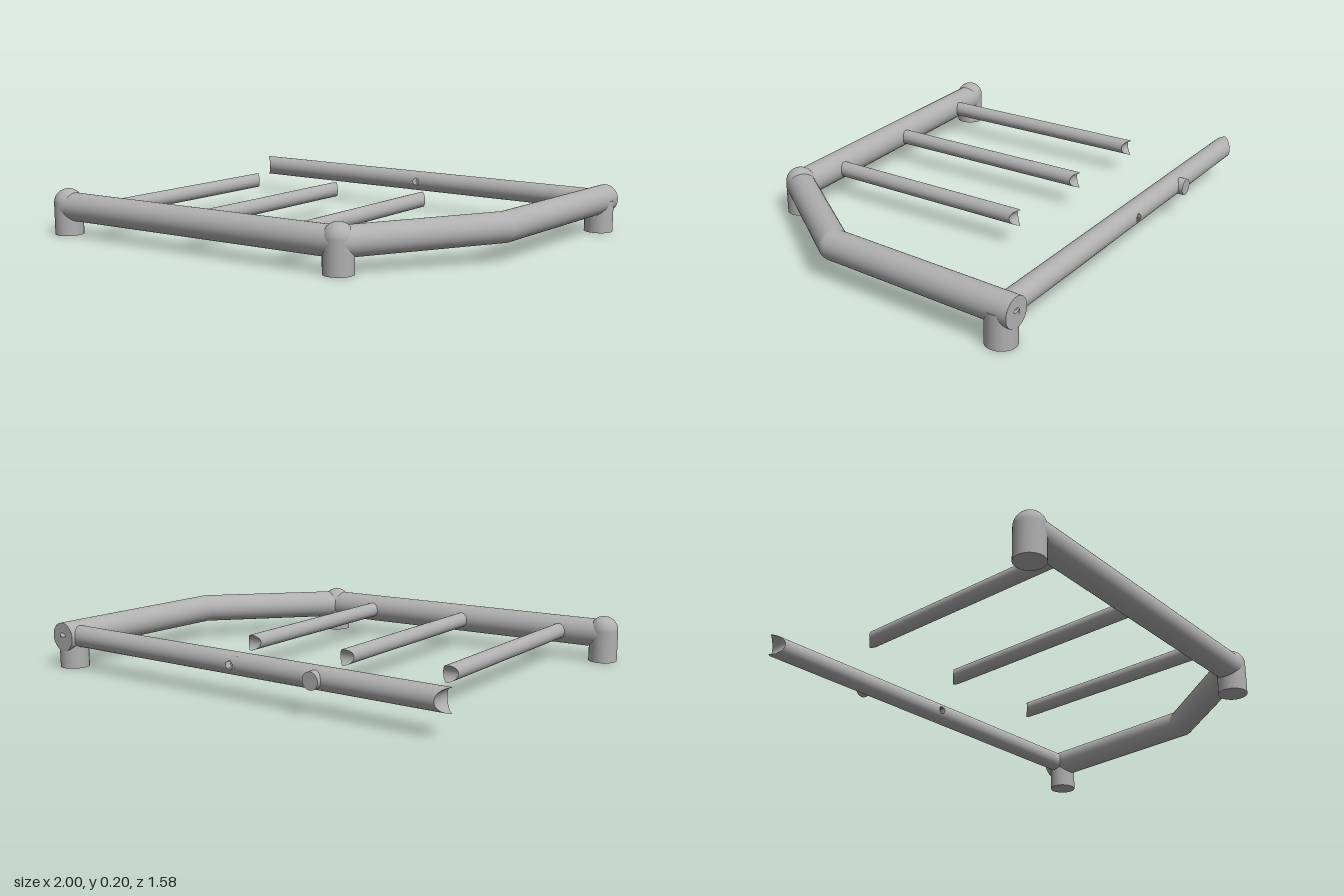
import * as THREE from 'three';
import { mergeGeometries, toCreasedNormals } from 'three/addons/utils/BufferGeometryUtils.js';

const steel = new THREE.MeshStandardMaterial({ color: 0xb0b0b0 });
steel.name = 'steelGrey';

function add(parent, name, geometry, x = 0, y = 0, z = 0) {
  const mesh = new THREE.Mesh(geometry, steel);
  mesh.name = name;
  mesh.position.set(x, y, z);
  parent.add(mesh);
  return mesh;
}

// Straight round tube between two points
function tube(parent, name, a, b, r, open = false) {
  const from = new THREE.Vector3(...a), dir = new THREE.Vector3(...b).sub(from);
  const mesh = add(parent, name, new THREE.CylinderGeometry(r, r, dir.length(), 40, 1, open));
  mesh.position.copy(from).addScaledVector(dir, 0.5);
  mesh.quaternion.setFromUnitVectors(new THREE.Vector3(0, 1, 0), dir.normalize());
  return mesh;
}

// Bar running along +z whose far end is cut to a saddle, tips at top and bottom
function copedBar(r, length) {
  const wall = new THREE.CylinderGeometry(r, r, length, 40, 1, true);
  wall.rotateX(Math.PI / 2).translate(0, 0, length / 2);
  const end = new THREE.RingGeometry(0, r, 40, 8).translate(0, 0, length);
  for (const g of [wall, end]) {
    const p = g.attributes.position;
    for (let i = 0; i < p.count; i++) {
      if (p.getZ(i) < length / 2) continue;
      p.setZ(i, length - Math.sqrt(Math.max(0, r * r - p.getY(i) ** 2)));
    }
  }
  end.computeVertexNormals();
  return mergeGeometries([wall, end]);
}

// Short piece of rail along x with a small bore sunk in its front and back
function boredPiece(r, length, bore) {
  const g = new THREE.CylinderGeometry(r, r, length, 80, 24, true);
  g.rotateZ(Math.PI / 2);
  const p = g.attributes.position;
  for (let i = 0; i < p.count; i++) {
    if (Math.hypot(p.getX(i), p.getY(i)) < bore) p.setZ(i, Math.sign(p.getZ(i)) * r * 0.4);
  }
  return toCreasedNormals(g, 0.6);
}

export function createModel() {
  const model = new THREE.Group();
  model.name = 'tubeFrame';
  const R = 0.063, r = 0.047, barR = 0.034;
  const railY = 0.124, topY = 0.14;
  const knee = [0.884, topY, 0.09];
  const railEnd = [0.932, topY, -0.787];

  // Posts with domed tops
  const posts = [['rightFrontPost', -0.937, 0.72], ['leftFrontPost', 0.48, 0.64], ['backPost', 0.932, -0.724]];
  for (const [name, x, z] of posts) {
    const post = new THREE.Group();
    post.name = name;
    post.position.set(x, 0, z);
    add(post, 'leg', new THREE.CylinderGeometry(R, R, topY, 40), 0, topY / 2, 0);
    if (name !== 'backPost') {
      add(post, 'dome', new THREE.SphereGeometry(R, 40, 12, 0, Math.PI * 2, 0, Math.PI / 2), 0, topY, 0);
    }
    model.add(post);
  }

  // Main rails
  tube(model, 'frontRail', [-0.937, railY, 0.72], [0.48, railY, 0.64], R);
  tube(model, 'diagonalRail', [0.48, railY, 0.64], knee, R);
  add(model, 'kneeJoint', new THREE.SphereGeometry(R, 40, 24), ...knee);
  tube(model, 'sideRail', knee, railEnd, R, true);

  // Flat rail end with a small bore
  const endCap = add(model, 'sideRailEnd', new THREE.RingGeometry(0.017, R, 40), ...railEnd);
  endCap.rotation.y = Math.PI - 0.054;
  const bore = add(model, 'endBore', new THREE.CircleGeometry(0.018, 24), 0.93, topY, -0.757);
  bore.rotation.y = Math.PI;

  // Back rail: coped free end, bored middle, plain run into the side rail
  const zBack = -0.728, xHole = -0.01, half = 0.03;
  const free = add(model, 'backRailFreeEnd', copedBar(r, 0.985 + xHole - half), xHole - half, topY, zBack);
  free.rotation.y = -Math.PI / 2;
  add(model, 'backRailBore', boredPiece(r, half * 2, 0.016), xHole, topY, zBack);
  tube(model, 'backRail', [xHole + half, topY, zBack], [0.92, topY, zBack], r, true);

  // Round stud on the rear of the back rail
  tube(model, 'stud', [-0.418, topY, -0.75], [-0.418, topY, -0.793], 0.036);

  // Cross bars reaching back from the front rail
  for (const x of [-0.745, -0.257, 0.233]) {
    const zStart = 0.68 - (x + 0.937) * 0.03;
    const bar = add(model, 'crossBar', copedBar(barR, zStart + 0.355), x, railY, zStart);
    bar.rotation.y = Math.PI;
  }
  return model;
}
